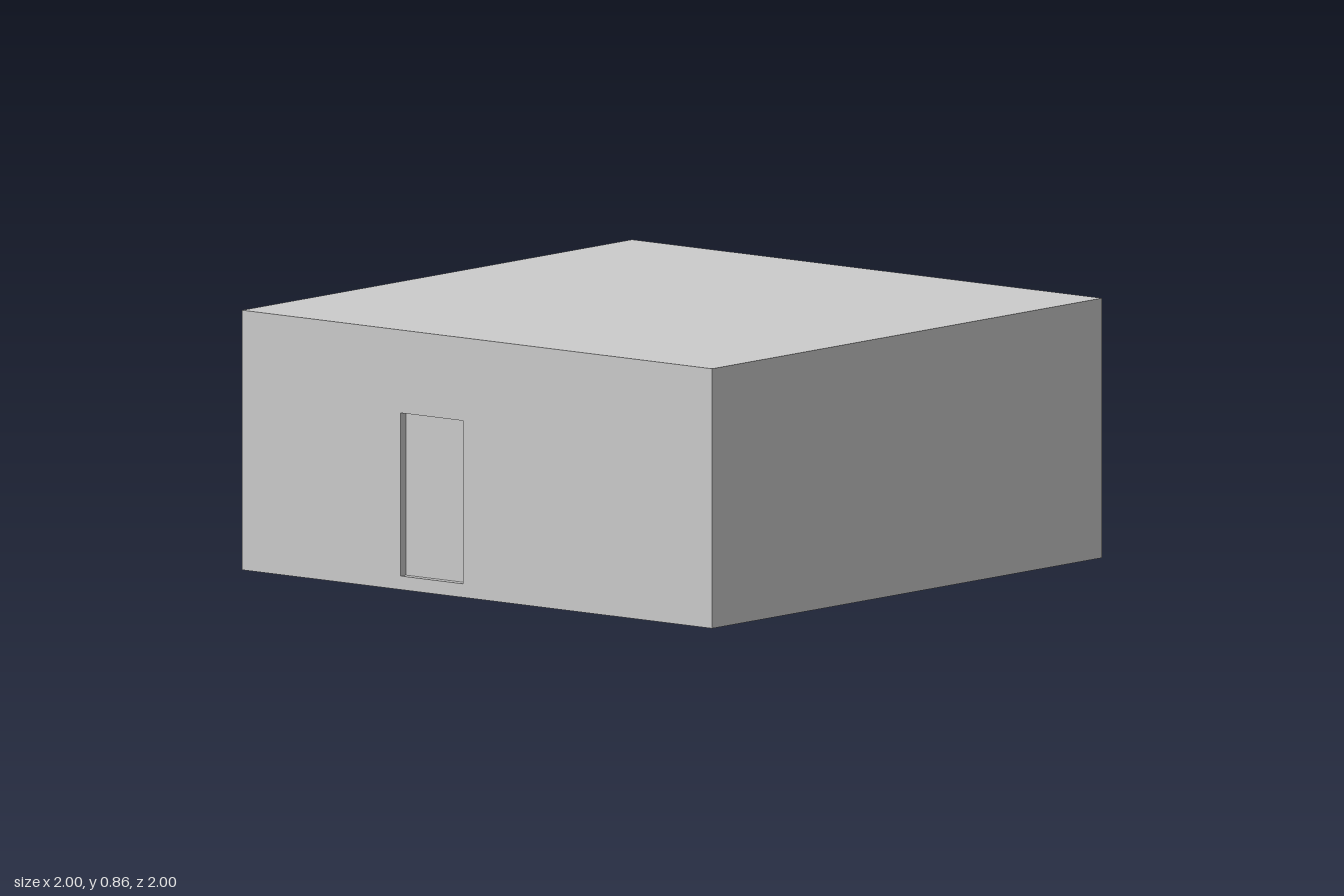
import * as THREE from 'three';

const HEIGHT = 0.86;
const DOOR = { width: 0.265, bottom: 0.045, top: 0.585, depth: 0.027 };
const material = new THREE.MeshStandardMaterial({ color: 0xcccccc, flatShading: true });

function addMesh(parent, name, geometry) {
  const mesh = new THREE.Mesh(geometry, material);
  mesh.name = name;
  parent.add(mesh);
  return mesh;
}

function rectangle(path, x0, y0, x1, y1) {
  path.moveTo(x0, y0);
  path.lineTo(x1, y0);
  path.lineTo(x1, y1);
  path.lineTo(x0, y1);
  path.closePath();
  return path;
}

// Recessed doorway: a door panel set back behind four reveals
function addDoorway(wall, x) {
  const { width, bottom, top, depth } = DOOR;
  const height = top - bottom;
  const doorway = new THREE.Group();
  doorway.name = 'doorway';
  doorway.position.set(x, (bottom + top) / 2, 0);
  wall.add(doorway);

  addMesh(doorway, 'doorPanel', new THREE.PlaneGeometry(width, height)).position.z = -depth;
  for (const side of [-1, 1]) {
    const jamb = addMesh(doorway, 'doorJamb', new THREE.PlaneGeometry(depth, height));
    jamb.rotation.y = -side * Math.PI / 2;
    jamb.position.set(side * width / 2, 0, -depth / 2);
    const ledge = addMesh(doorway, side > 0 ? 'doorHead' : 'doorSill', new THREE.PlaneGeometry(width, depth));
    ledge.rotation.x = side * Math.PI / 2;
    ledge.position.set(0, side * height / 2, -depth / 2);
  }
}

// Outer wall, drawn facing +z and turned into place
function createWall(name, angle, doorX) {
  const wall = new THREE.Group();
  wall.name = name;
  wall.rotation.y = angle;
  wall.position.set(Math.sin(angle), 0, Math.cos(angle));

  const shape = rectangle(new THREE.Shape(), -1, 0, 1, HEIGHT);
  if (doorX !== undefined) {
    const half = DOOR.width / 2;
    shape.holes.push(rectangle(new THREE.Path(), doorX - half, DOOR.bottom, doorX + half, DOOR.top));
    addDoorway(wall, doorX);
  }
  addMesh(wall, 'wallFace', new THREE.ShapeGeometry(shape));
  return wall;
}

export function createModel() {
  const building = new THREE.Group();
  building.name = 'building';

  // Four walls; the back and the -x side each have a doorway
  building.add(
    createWall('frontWall', 0),
    createWall('leftWall', Math.PI / 2),
    createWall('backWall', Math.PI, -0.288),
    createWall('rightWall', -Math.PI / 2, -0.192)
  );

  // Flat roof and floor
  const roof = addMesh(building, 'roof', new THREE.PlaneGeometry(2, 2));
  roof.rotation.x = -Math.PI / 2;
  roof.position.y = HEIGHT;
  const floor = addMesh(building, 'floor', new THREE.PlaneGeometry(2, 2));
  floor.rotation.x = Math.PI / 2;

  return building;
}
